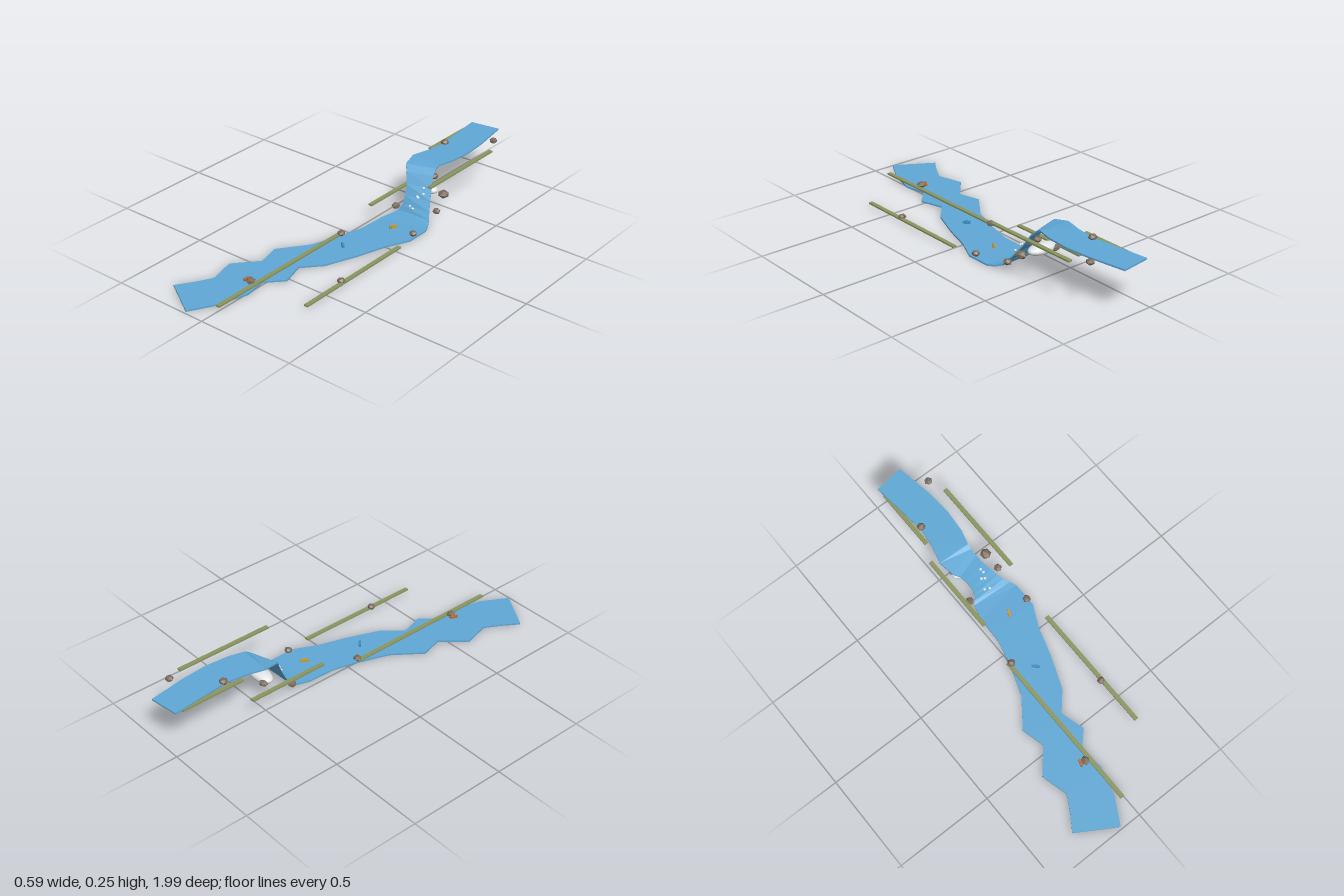
import * as THREE from 'three';

const mat = (name, color) => {
  const m = new THREE.MeshStandardMaterial({ color });
  m.name = name;
  return m;
};

// River sections: [leftX, leftZ, rightX, rightZ, leftY, rightY]
const upper = [
  [0.01, -0.98, 0.16, -1.0], [0.03, -0.8, 0.19, -0.81], [0.042, -0.68, 0.2, -0.68],
  [0.03, -0.58, 0.19, -0.555],
].map((s) => [...s, 0.23, 0.23]);
const falls = [
  [0.005, -0.487, 0.17, -0.48, 0.229, 0.23],
  [0.02, -0.41, 0.168, -0.455, 0.217, 0.217],
  [0.045, -0.385, 0.174, -0.425, 0.19, 0.19],
  [0.065, -0.36, 0.188, -0.395, 0.14, 0.14],
  [0.075, -0.335, 0.208, -0.36, 0.09, 0.09],
  [0.075, -0.315, 0.226, -0.33, 0.05, 0.05],
  [0.062, -0.3, 0.243, -0.305, 0.022, 0.022],
  [0.05, -0.285, 0.26, -0.275, 0.012, 0.012],
];
const lower = [
  [0.03, -0.21, 0.275, -0.24], [0.028, -0.14, 0.275, -0.115], [0.025, -0.07, 0.22, 0],
  [-0.005, 0.05, 0.175, 0.145], [-0.06, 0.21, 0.11, 0.31], [-0.165, 0.35, 0.03, 0.4],
  [-0.135, 0.465, 0.065, 0.52], [-0.235, 0.58, -0.01, 0.6], [-0.2, 0.715, 0.01, 0.715],
  [-0.245, 0.795, -0.035, 0.865], [-0.297, 0.873, -0.105, 0.99],
].map((s) => [...s, 0.008, 0.008]);

// Thin slab swept through the sections
function ribbonGeometry(sections, thick) {
  const rings = sections.map(([lx, lz, rx, rz, ly, ry]) => [
    [lx, ly, lz], [rx, ry, rz], [rx, ry - thick, rz], [lx, ly - thick, lz],
  ]);
  const pos = [];
  const quad = (a, b, c, d) => [a, b, c, a, c, d].forEach((p) => pos.push(...p));
  for (let i = 0; i < rings.length - 1; i++) {
    for (let j = 0; j < 4; j++) {
      const k = (j + 1) % 4;
      quad(rings[i][j], rings[i + 1][j], rings[i + 1][k], rings[i][k]);
    }
  }
  quad(...rings[0]);
  quad(...rings[rings.length - 1].slice().reverse());
  const g = new THREE.BufferGeometry();
  g.setAttribute('position', new THREE.Float32BufferAttribute(pos, 3));
  g.computeVertexNormals();
  return g;
}

export function createModel() {
  const model = new THREE.Group();
  model.name = 'riverWithWaterfall';
  const water = mat('water blue', 0x5fa8d6);
  const stone = mat('stone brown', 0x7d6c5e);
  const moss = mat('moss green', 0x8b9660);
  const foam = mat('foam white', 0xe6eaec);
  const orange = mat('fish orange', 0xc8692a);
  const yellow = mat('fish yellow', 0xcf9a26);
  const blue = mat('fish blue', 0x3f8fc0);

  const add = (parent, name, geo, material, x = 0, y = 0, z = 0) => {
    const m = new THREE.Mesh(geo, material);
    m.name = name;
    m.position.set(x, y, z);
    parent.add(m);
    return m;
  };

  // Water
  add(model, 'river', ribbonGeometry([...upper, ...falls, ...lower], 0.008), water);

  // Bank strips: x, y, start z, end z
  [
    [0.265, 0.22, -0.78, -0.27], [0.02, 0.22, -0.94, -0.61], [0.006, 0.09, -0.57, -0.15],
    [-0.01, 0.018, 0.05, 0.89], [0.284, 0.018, -0.02, 0.645],
  ].forEach(([x, y, z0, z1]) => {
    add(model, 'bankStrip', new THREE.BoxGeometry(0.021, 0.008, z1 - z0), moss, x, y, (z0 + z1) / 2);
  });

  // Rocks: x, y, z, radius
  const rockGeo = new THREE.IcosahedronGeometry(1, 0).toNonIndexed();
  rockGeo.computeVertexNormals();
  [
    [0.05, 0.235, -0.69, 0.022], [0.225, 0.235, -0.86, 0.021], [0.16, 0.175, -0.455, 0.021],
    [0.235, 0.112, -0.43, 0.028], [0.06, 0.105, -0.46, 0.024], [0.25, 0.055, -0.355, 0.021],
    [0.04, 0.033, -0.31, 0.022], [0.265, 0.026, -0.15, 0.02], [0, 0.026, 0.06, 0.021],
    [0.276, 0.026, 0.395, 0.02], [-0.035, 0.026, 0.65, 0.023],
  ].forEach(([x, y, z, r], i) => {
    const rock = add(model, 'rock', rockGeo, stone, x, y, z);
    rock.scale.set(r, r * 0.75, r);
    rock.rotation.y = i * 0.7;
  });

  // Mist cushion behind the falls and spray drops on it
  add(model, 'mist', new THREE.SphereGeometry(1, 16, 10), foam, 0.115, 0.11, -0.435)
    .scale.set(0.08, 0.026, 0.042);
  [
    [0.158, 0.142, -0.372], [0.166, 0.117, -0.36], [0.155, 0.104, -0.335], [0.141, 0.102, -0.345],
    [0.128, 0.062, -0.305], [0.152, 0.06, -0.295],
  ].forEach(([x, y, z], i) => {
    const drop = add(model, 'sprayDrop', rockGeo, foam, x, y, z);
    drop.scale.set(0.008, 0.006, 0.008);
    drop.rotation.y = i;
  });

  // Small fish: body, head, tail and fin
  const addFish = (name, material, x, y, z, turn) => {
    const fish = new THREE.Group();
    fish.name = name;
    fish.position.set(x, y, z);
    fish.rotation.y = turn;
    add(fish, 'body', new THREE.BoxGeometry(0.026, 0.011, 0.012), material);
    add(fish, 'head', new THREE.BoxGeometry(0.008, 0.008, 0.01), material, 0.016, 0.001, 0);
    add(fish, 'tail', new THREE.BoxGeometry(0.006, 0.017, 0.006), material, -0.016, 0, 0);
    add(fish, 'fin', new THREE.BoxGeometry(0.008, 0.006, 0.004), material, 0, 0.008, 0);
    model.add(fish);
  };
  addFish('orangeFish', orange, -0.058, 0.025, 0.645, 1.2);
  addFish('yellowFish', yellow, 0.151, 0.025, -0.145, 1.1);
  addFish('blueFish', blue, 0.08, 0.025, 0.145, -0.75);

  return model;
}
